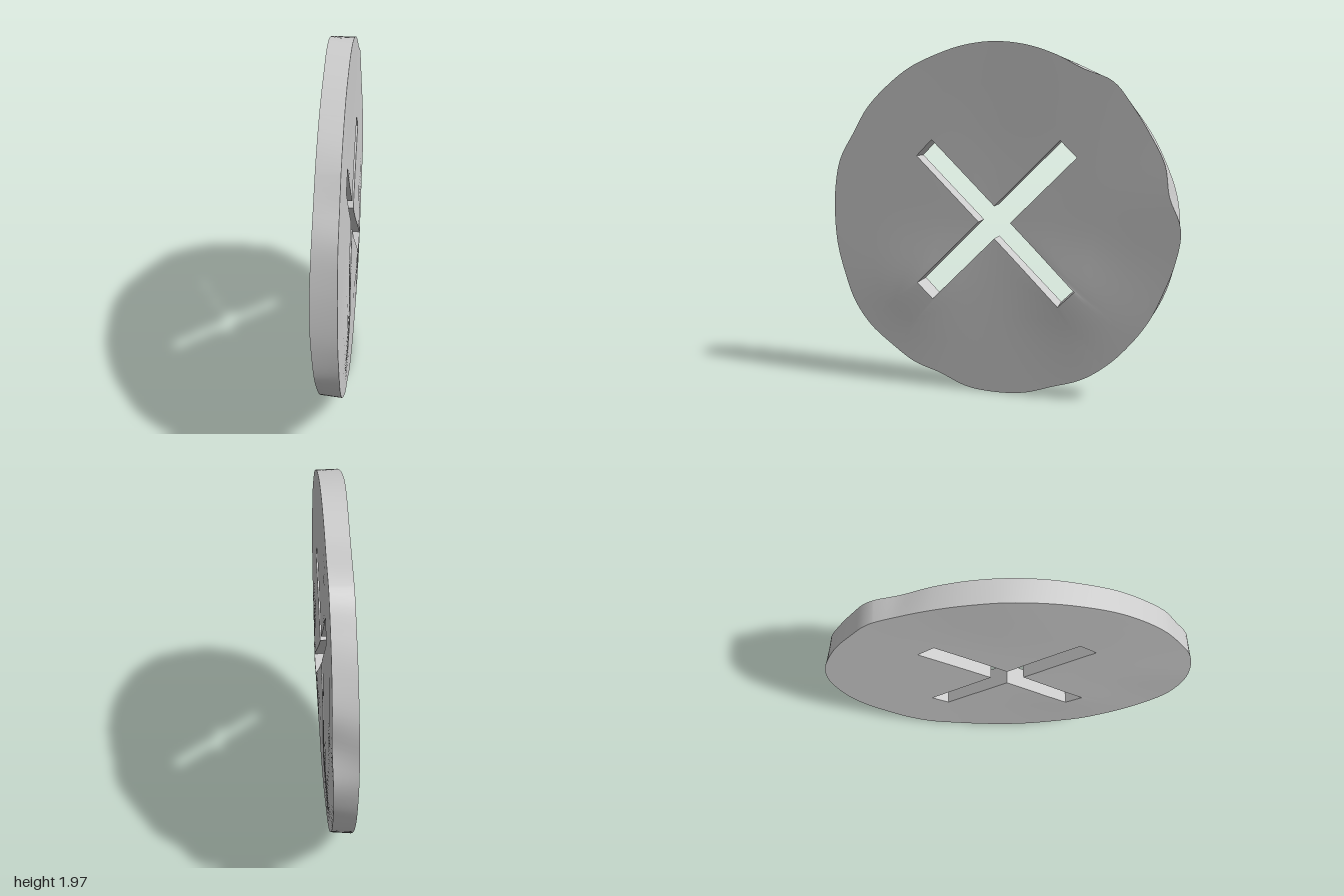
import * as THREE from 'three';

const CENTER_Y = 0.983;
const SLOT_HALF = 0.064, SLOT_END = 0.578;

// Rim radii (thousandths) every 10 degrees, clockwise from the top as seen from +x
const RIM_RIGHT = [979, 973, 963, 955, 990, 971, 963, 968, 952, 1000, 995, 984, 989, 990, 995, 994, 976, 984,
  982, 979, 957, 976, 979, 995, 995, 979, 976, 974, 981, 989, 973, 981, 979, 981, 976, 979];
const RIM_LEFT = [987, 973, 963, 966, 984, 968, 968, 973, 988, 995, 995, 1000, 1000, 1000, 1016, 1021, 994, 984,
  982, 979, 973, 984, 979, 984, 995, 1010, 1005, 1000, 997, 994, 979, 979, 979, 981, 979, 984];

// Smooth periodic interpolation of a radius table
function radiusAt(table, a) {
  const n = table.length, u = a / (2 * Math.PI) * n, i = Math.floor(u), t = u - i;
  const [p, q, r, s] = [-1, 0, 1, 2].map(k => table[(i + k + n) % n] / 1000);
  return q + 0.5 * t * (r - p + t * (2 * p - 5 * q + 4 * r - s + t * (3 * (q - r) + s - p)));
}

// Distance from the centre to the edge of the diagonal cross
function slotRadius(a) {
  const quarter = Math.PI / 2;
  const d = a - (Math.floor(a / quarter) + 0.5) * quarter;
  return Math.min(SLOT_END / Math.cos(d), SLOT_HALF / Math.max(1e-6, Math.abs(Math.sin(d))));
}

// Gently uneven thickness
const bump = (z, y, z0, y0, s) => Math.exp(-((z - z0) ** 2 + (y - y0) ** 2) / (s * s));
const rightX = (z, y) => 0.049 + 0.018 * (bump(z, y, 0.45, 0.6, 0.25) + bump(z, y, -0.45, 0.6, 0.25))
  + 0.008 * bump(z, y, -0.9, 1.1, 0.3) - 0.006 * bump(z, y, 0, 1.45, 0.3);
const leftX = (z, y) => -0.062 - 0.01 * (bump(z, y, 0.4, 0.6, 0.35) + bump(z, y, 0, 1.95, 0.3)
  + bump(z, y, 0.95, 1, 0.3)) + 0.004 * bump(z, y, 0, 1.4, 0.3);

// Sample angles, including the exact corners of the cross
const angles = [];
for (let i = 0; i < 180; i++) angles.push(i * Math.PI / 90);
const corner = Math.atan2(SLOT_HALF, SLOT_END);
for (let k = 0; k < 4; k++)
  for (const s of [-1, 1]) angles.push((k + 0.5) * Math.PI / 2 + s * corner);
angles.sort((a, b) => a - b);

// Closed ring of points, t = 0 at the cross and t = 1 at the rim
function ring(table, xRule, t) {
  return angles.map(a => {
    const r = THREE.MathUtils.lerp(slotRadius(a), radiusAt(table, a), t);
    const z = -r * Math.sin(a), y = CENTER_Y + r * Math.cos(a);
    return [xRule(z, y), y, z];
  });
}

// Surface through a series of closed rings
function skin(name, rings, flat = false) {
  const n = angles.length, index = [];
  for (let j = 0; j < rings.length - 1; j++)
    for (let i = 0; i < n; i++) {
      const k = (i + 1) % n, a = j * n, b = a + n;
      index.push(a + i, a + k, b + k, a + i, b + k, b + i);
    }
  const geometry = new THREE.BufferGeometry();
  geometry.setAttribute('position', new THREE.Float32BufferAttribute(rings.flat(2), 3));
  geometry.setIndex(index);
  geometry.computeVertexNormals();
  const mesh = new THREE.Mesh(geometry, new THREE.MeshStandardMaterial({ color: 0xcccccc, flatShading: flat }));
  mesh.name = name;
  return mesh;
}

export function createModel() {
  const group = new THREE.Group();
  group.name = 'slottedDisc';
  const steps = [0, 0.25, 0.5, 0.75, 1];
  const right = steps.map(t => ring(RIM_RIGHT, rightX, t));
  const left = steps.map(t => ring(RIM_LEFT, leftX, t));
  group.add(
    skin('rightFace', right),
    skin('wavyRim', [right[4], left[4]]),
    skin('leftFace', [...left].reverse()),
    skin('crossSlotWalls', [left[0], right[0]], true),
  );
  return group;
}
